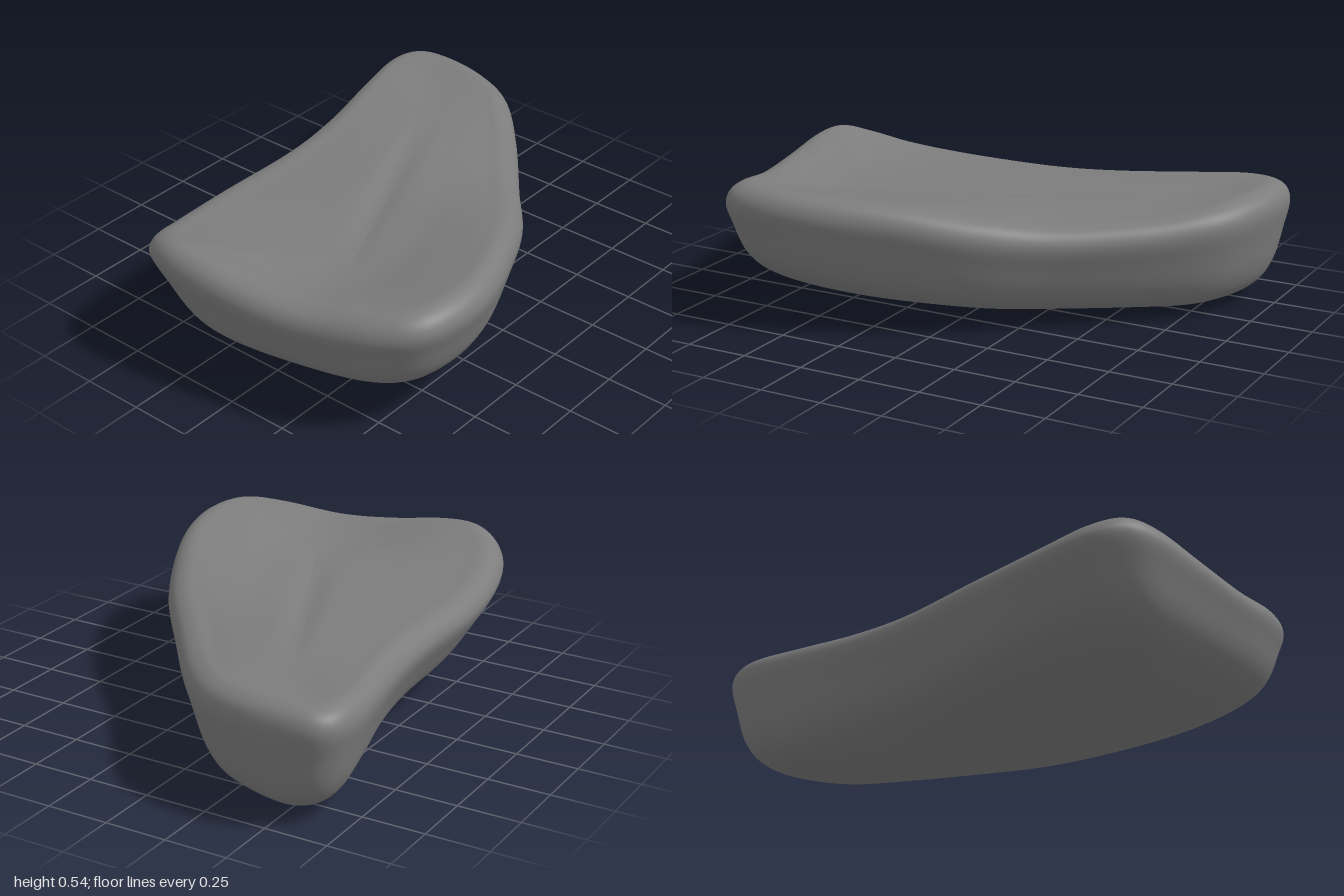
import * as THREE from 'three';

// Rim stations: x, z, crest height, flare of the side below the rim
const RIM = [
  [-1, -0.25, 0.525, 1.2], [-0.97, -0.4, 0.53, 1.6], [-0.88, -0.51, 0.49, 1.9], [-0.7, -0.575, 0.445, 1.8],
  [-0.4, -0.615, 0.42, 1.5], [0, -0.62, 0.42, 1.3], [0.3, -0.655, 0.43, 1.2], [0.6, -0.72, 0.445, 1.1],
  [0.83, -0.755, 0.46, 0.95], [0.96, -0.71, 0.465, 0.8], [1, -0.58, 0.465, 0.65], [0.98, -0.37, 0.46, 0.65],
  [0.9, -0.17, 0.445, 0.7], [0.7, 0.03, 0.42, 0.75], [0.4, 0.27, 0.415, 0.8], [0.15, 0.47, 0.455, 0.85],
  [-0.1, 0.61, 0.505, 0.9], [-0.35, 0.715, 0.53, 0.95], [-0.57, 0.75, 0.543, 0.95], [-0.76, 0.705, 0.54, 0.9],
  [-0.87, 0.55, 0.515, 0.85], [-0.94, 0.28, 0.485, 0.85], [-0.985, 0, 0.495, 0.95],
];

// Side profile below the widest line: inset, fraction of the height
const SIDE = [[0.03, 0.7], [0.08, 0.36], [0.15, 0.17], [0.3, 0.04]];

const CENTRE = 0.432;

const loop = (pick) => new THREE.CatmullRomCurve3(RIM.map(pick), true, 'catmullrom', 0.5);
const underside = (x, z) => 0.05 * (x - 0.45) ** 2 + 0.08 * (z + 0.4) ** 2;

// Cross-section from the central groove over the rim and down to the underside
function section(p, flare) {
  const ax = 0.52 * p.x + 0.02;
  const axis = new THREE.Vector3(ax, 0, -0.08 - 0.46 * ax);
  const dist = Math.hypot(p.x - axis.x, p.z - axis.z);
  const at = (inset, height) => {
    const v = new THREE.Vector3(p.x, 0, p.z).lerp(axis, Math.min(inset / dist, 1));
    v.y = height(v);
    return v;
  };
  const rim = p.y;
  const groove = 0.013 * Math.max(0, 1 - (ax / 0.5) ** 2);
  const dish = (k) => () => CENTRE + (rim - CENTRE) * k;
  const pts = [
    at(dist, () => CENTRE - groove),
    at(dist - 0.02, () => CENTRE - groove * 0.95),
    at(dist - 0.09, dish(0.02)),
    at(dist * 0.62, dish(0.22)),
    at(dist * 0.42, dish(0.55)),
    at(Math.min(0.16, dist * 0.28), dish(0.88)),
    at(0.075, () => rim),
    at(0.022, () => rim - 0.025),
    at(0, () => rim - 0.075),
  ];
  for (const [inset, k] of SIDE) {
    pts.push(at(Math.min(inset * flare, dist * 0.85), (v) => {
      const b = underside(v.x, v.z);
      return b + (rim - 0.075 - b) * k;
    }));
  }
  pts.push(at(dist * 0.93, (v) => underside(v.x, v.z)));
  pts.push(at(dist, (v) => underside(v.x, v.z)));
  return new THREE.CatmullRomCurve3(pts, false, 'centripetal');
}

function padGeometry(cols = 160, rows = 75) {
  const outline = loop(([x, z, y]) => new THREE.Vector3(x, y, z));
  const flares = loop(([, , , f]) => new THREE.Vector3(f, 0, 0));
  const pos = [], idx = [];
  for (let i = 0; i < cols; i++) {
    const curve = section(outline.getPoint(i / cols), flares.getPoint(i / cols).x);
    for (let j = 0; j <= rows; j++) {
      const v = curve.getPoint(j / rows);
      pos.push(v.x, Math.max(v.y, 0), v.z);
    }
  }
  const n = rows + 1;
  for (let i = 0; i < cols; i++) {
    for (let j = 0; j < rows; j++) {
      const a = i * n + j, b = ((i + 1) % cols) * n + j;
      idx.push(a, b, a + 1, b, b + 1, a + 1);
    }
  }
  const g = new THREE.BufferGeometry();
  g.setAttribute('position', new THREE.Float32BufferAttribute(pos, 3));
  g.setIndex(idx);
  g.computeVertexNormals();
  return g;
}

export function createModel() {
  const group = new THREE.Group();
  group.name = 'dishedPad';
  const pad = new THREE.Mesh(padGeometry(), new THREE.MeshStandardMaterial({ color: 0x7c7c7c }));
  pad.name = 'padBody';
  group.add(pad);
  return group;
}
